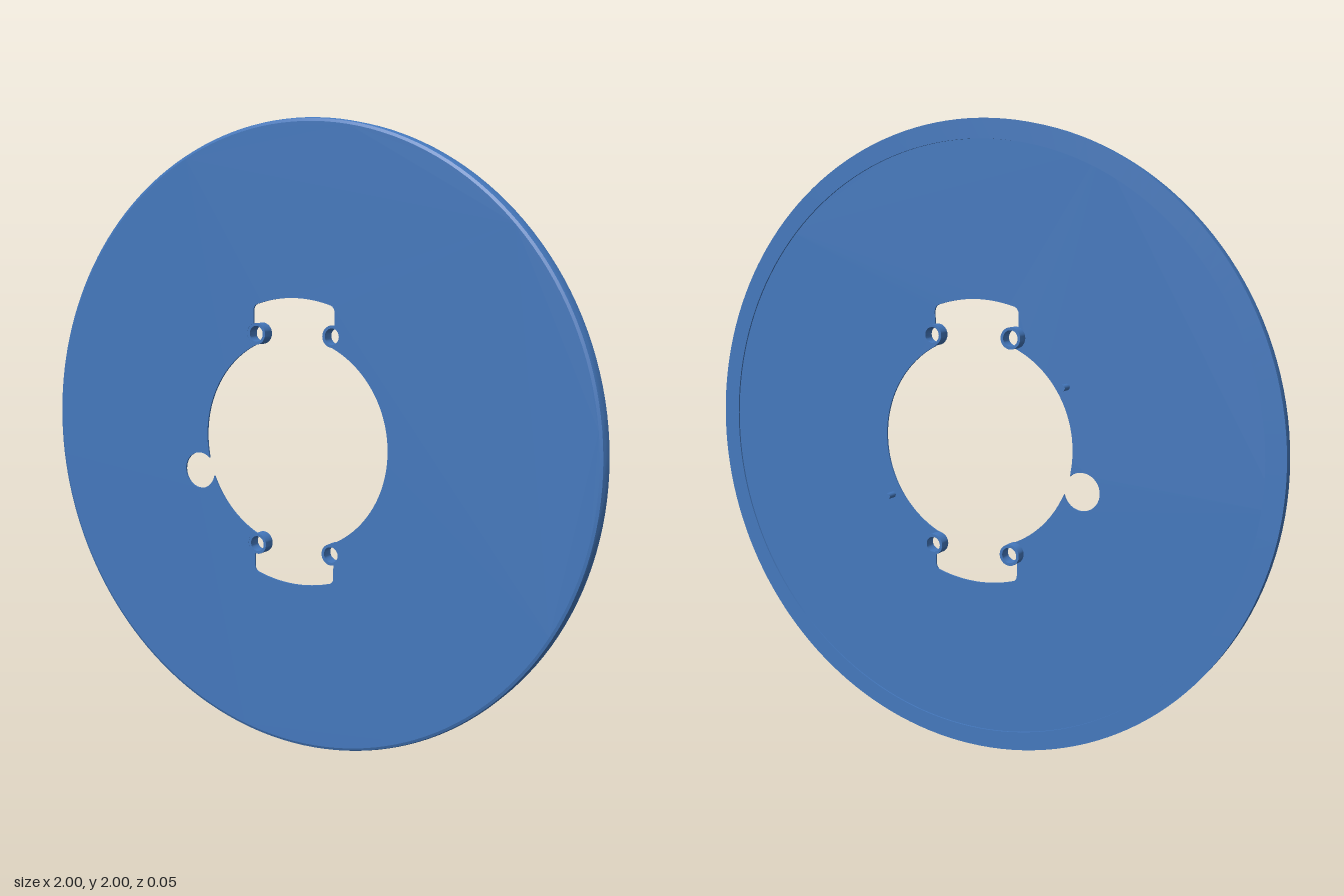
import * as THREE from 'three';
import { toCreasedNormals } from 'three/addons/utils/BufferGeometryUtils.js';

const FRONT = 0.023, BACK = -0.023, SHEET = 0.006;
const BOSS = { x: 0.14, y: 0.342, inner: 0.025, outer: 0.034 };
const rad = THREE.MathUtils.degToRad;

// Points along an arc, angles in degrees
function arc(cx, cy, r, from, to, steps) {
  return Array.from({ length: steps + 1 }, (_, i) => {
    const a = rad(from + (to - from) * i / steps);
    return new THREE.Vector2(cx + r * Math.cos(a), cy + r * Math.sin(a));
  });
}

// Central opening: round bore, two slots, boss recesses and one side notch
function openingPoints() {
  const quarter = [
    ...arc(0, 0, 0.338, 0, 68, 34),
    ...arc(BOSS.x, BOSS.y, BOSS.outer, -105, 73, 14),
    ...arc(0.128, 0.416, 0.022, 0, 70, 6),
    ...arc(0, 0, 0.457, 73, 90, 8),
  ];
  const flip = (sx, sy) => quarter.map(p => new THREE.Vector2(p.x * sx, p.y * sy));
  const notch = new THREE.Vector2(-0.37, -0.12), notchR = 0.06;
  const third = flip(-1, -1);
  const inside = third.map(p => p.distanceTo(notch) < notchR + 0.004);
  third.splice(inside.indexOf(true), inside.filter(Boolean).length,
    ...arc(notch.x, notch.y, notchR, 49, 347, 32));
  const all = [...quarter, ...flip(-1, 1).reverse(), ...third, ...flip(1, -1).reverse()];
  return all.filter((p, i) => p.distanceTo(all[(i + 1) % all.length]) > 1e-4);
}

// Closed profile (radius, z) turned around the z axis
function turned(profile, segments) {
  const g = new THREE.LatheGeometry(profile.map(p => new THREE.Vector2(...p)), segments);
  g.rotateX(Math.PI / 2);
  return toCreasedNormals(g, rad(35));
}

export function createModel() {
  const group = new THREE.Group();
  const material = new THREE.MeshStandardMaterial({ color: 0x4478bd, side: THREE.DoubleSide });
  const add = (name, geometry, x = 0, y = 0, z = 0) => {
    const mesh = new THREE.Mesh(geometry, material);
    mesh.name = name;
    mesh.position.set(x, y + 1, z);
    group.add(mesh);
  };

  // Thin front sheet
  const shape = new THREE.Shape(arc(0, 0, 0.988, 0, 360, 160).slice(0, -1));
  shape.holes.push(new THREE.Path(openingPoints()));
  const sheet = new THREE.ExtrudeGeometry(shape, { depth: SHEET, bevelEnabled: false });
  add('frontSheet', toCreasedNormals(sheet, rad(35)), 0, 0, FRONT - SHEET);

  // Outer wall with rounded front edge and inward lip at the back
  add('rim', turned([
    [0.94, BACK], [1, BACK], [1, FRONT - 0.012], [0.9965, FRONT - 0.0035], [0.988, FRONT],
    [0.988, FRONT - SHEET], [0.994, FRONT - 0.012], [0.994, BACK + 0.005],
    [0.94, BACK + 0.005], [0.94, BACK],
  ], 160));

  // Four hollow screw bosses beside the slots
  const back = -0.017;
  const boss = turned([
    [BOSS.inner, back], [BOSS.outer, back], [BOSS.outer, FRONT - 0.001],
    [BOSS.inner, FRONT - 0.001], [BOSS.inner, back],
  ], 32);
  for (const sx of [-1, 1]) for (const sy of [-1, 1])
    add('screwBoss', boss, sx * BOSS.x, sy * BOSS.y);

  // Two small locating pins on the back
  const pin = new THREE.CylinderGeometry(0.01, 0.01, 0.038, 16).rotateX(Math.PI / 2);
  for (const s of [-1, 1]) add('locatingPin', pin, s * 0.316, -s * 0.2, 0);

  return group;
}
